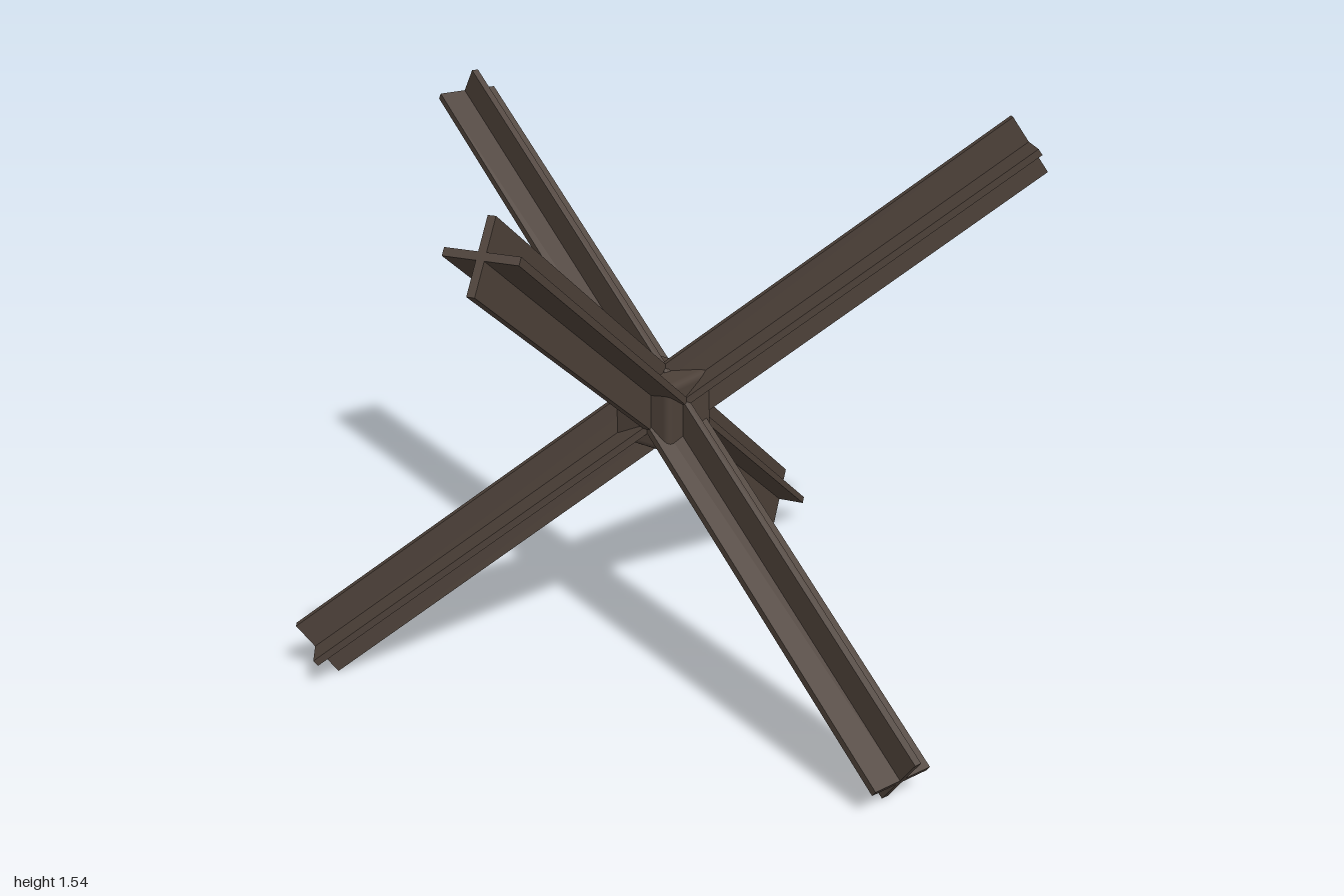
import * as THREE from 'three';
import { RoundedBoxGeometry } from 'three/addons/geometries/RoundedBoxGeometry.js';

const LENGTH = 2.4;      // beam length
const HALF = 0.0925;     // half width of each flange
const T = 0.01;          // half thickness of the steel
const CENTRE_Y = 0.768;  // height of the crossing point

// Steel beam with a plus-shaped section, centred and running along z
function beamGeometry() {
  const quarter = [[T, T], [T, HALF], [-T, HALF]];
  const points = [];
  for (let i = 0; i < 4; i++) {
    for (const [x, y] of quarter) {
      points.push(new THREE.Vector2(x, y).rotateAround(new THREE.Vector2(), i * Math.PI / 2));
    }
  }
  const geometry = new THREE.ExtrudeGeometry(new THREE.Shape(points), { depth: LENGTH, bevelEnabled: false });
  geometry.translate(0, 0, -LENGTH / 2);
  return geometry;
}

export function createModel() {
  const group = new THREE.Group();
  group.name = 'steelObstacle';
  const rustySteel = new THREE.MeshStandardMaterial({ color: 0x4c4038 });
  rustySteel.name = 'rusty steel';

  // Three mutually perpendicular beams, spaced evenly around the vertical
  const geometry = beamGeometry();
  const tilt = Math.asin(1 / Math.sqrt(3));
  ['frontBeam', 'rightBeam', 'backBeam'].forEach((name, i) => {
    const beam = new THREE.Mesh(geometry, rustySteel);
    beam.name = name;
    beam.position.y = CENTRE_Y;
    beam.rotation.set(-tilt, THREE.MathUtils.degToRad([15, 255, 135][i]), 0, 'YXZ');
    group.add(beam);
  });

  // Block joining the beams
  const hub = new THREE.Mesh(new RoundedBoxGeometry(0.195, 0.195, 0.195, 2, 0.02), rustySteel);
  hub.name = 'centreBlock';
  hub.position.y = CENTRE_Y;
  group.add(hub);

  return group;
}
